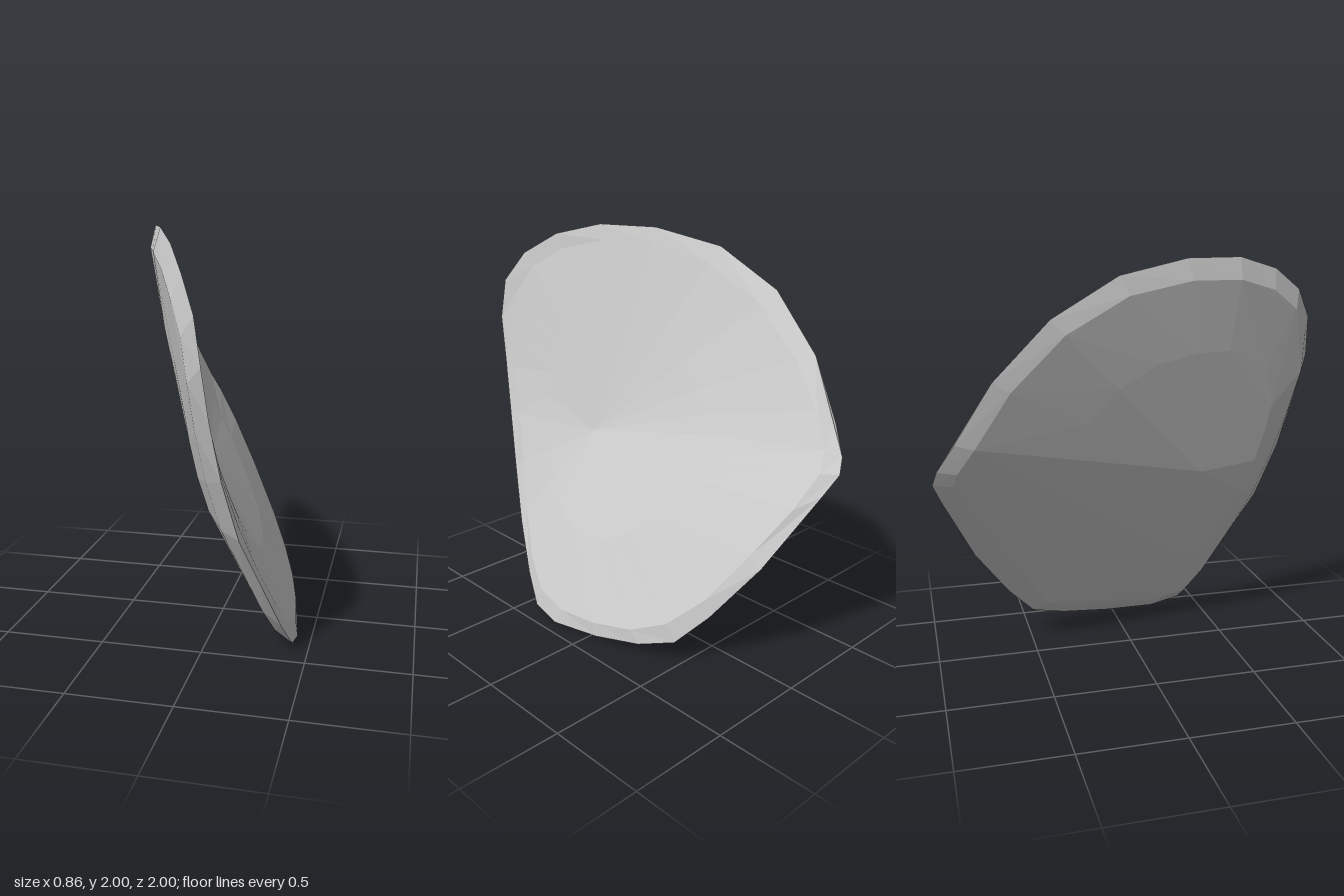
import * as THREE from 'three';
import { ConvexGeometry } from 'three/addons/geometries/ConvexGeometry.js';

// rim of the plate as x, y, z points, clockwise seen from +x
const RIM = [
  [-0.17, 2.0, 0.5], [-0.28, 2.0, 0.2], [-0.38, 1.93, -0.15], [-0.43, 1.75, -0.47],
  [-0.41, 1.48, -0.73], [-0.36, 1.2, -0.9], [-0.31, 1.07, -0.98], [-0.27, 1.0, -1.0],
  [-0.2, 0.9, -0.96], [0.015, 0.55, -0.8], [0.165, 0.28, -0.62], [0.255, 0.12, -0.48],
  [0.325, 0.06, -0.3], [0.385, 0.02, -0.05], [0.43, 0.0, 0.23], [0.425, 0.04, 0.39],
  [0.385, 0.18, 0.5], [0.32, 0.42, 0.64], [0.24, 0.69, 0.78], [0.185, 0.98, 0.88],
  [0.15, 1.25, 0.95], [0.13, 1.48, 1.0], [0.1, 1.68, 0.99], [0.03, 1.83, 0.9],
  [-0.06, 1.94, 0.73],
].map((p) => new THREE.Vector3(...p));

const COUNT = RIM.length;
const HUB = new THREE.Vector3(0.02, 0.95, 0.35); // where the folds meet
const NORMAL = new THREE.Vector3(0.93, 0.35, -0.2).normalize();

const lifted = (p, amount) => p.clone().addScaledVector(NORMAL, amount);

// rim averaged over neighbours, so that inner rings flow past the sharp corner
function smoothRim(reach) {
  return RIM.map((_, i) => {
    const sum = new THREE.Vector3();
    for (let k = -reach; k <= reach; k++) sum.add(RIM[(i + k + COUNT) % COUNT]);
    return sum.divideScalar(2 * reach + 1);
  });
}

// moves a rim point a fixed distance inwards
const inset = (p, distance) => p.clone().lerp(HUB, distance / p.distanceTo(HUB));

// hollow face: rim, bevel ring, middle ring and hub; the bevel fades out at the top front
function innerGeometry() {
  const lift = (p) => 0.015 - 0.02 * ((p.y - 1) * 0.6 + p.z * 0.8);
  const bevel = smoothRim(1).map((p) => lifted(inset(p, 0.06), lift(p)));
  const middle = smoothRim(2).map((p) => lifted(p.clone().lerp(HUB, 0.45), lift(p)));
  const points = [...RIM, ...bevel, ...middle, HUB];
  const index = [];
  for (let i = 0; i < COUNT; i++) {
    const j = (i + 1) % COUNT;
    for (let r = 0; r < 2; r++) {
      const a = r * COUNT + i, b = r * COUNT + j;
      index.push(a, b + COUNT, b, a, a + COUNT, b + COUNT);
    }
    index.push(2 * COUNT + i, 3 * COUNT, 2 * COUNT + j);
  }
  const geometry = new THREE.BufferGeometry().setFromPoints(points);
  geometry.setIndex(index);
  geometry.computeVertexNormals();
  return geometry;
}

// bulging face: the -x half of a convex skin over the rim and two lowered rings
function outerGeometry() {
  const bevel = RIM.map((p) => lifted(inset(p, 0.09), -0.045 - 0.02 * p.z));
  const middle = RIM.map((p) => lifted(p.clone().lerp(HUB, 0.4), -0.07 - 0.025 * p.z));
  const hull = new ConvexGeometry([...RIM, ...bevel, ...middle, lifted(HUB, -0.085)]);
  const position = hull.getAttribute('position');
  const normal = hull.getAttribute('normal');
  const points = [];
  for (let i = 0; i < position.count; i += 3) {
    if (normal.getX(i) >= 0) continue;
    for (let k = 0; k < 3; k++) points.push(new THREE.Vector3().fromBufferAttribute(position, i + k));
  }
  const geometry = new THREE.BufferGeometry().setFromPoints(points);
  geometry.computeVertexNormals();
  return geometry;
}

export function createModel() {
  const group = new THREE.Group();
  group.name = 'curvedPlate';
  const grey = new THREE.MeshStandardMaterial({ color: 0xcccccc, flatShading: true });
  grey.name = 'paleGrey';

  const inner = new THREE.Mesh(innerGeometry(), grey);
  inner.name = 'innerFace';
  const outer = new THREE.Mesh(outerGeometry(), grey);
  outer.name = 'outerFace';
  group.add(inner, outer);
  return group;
}
